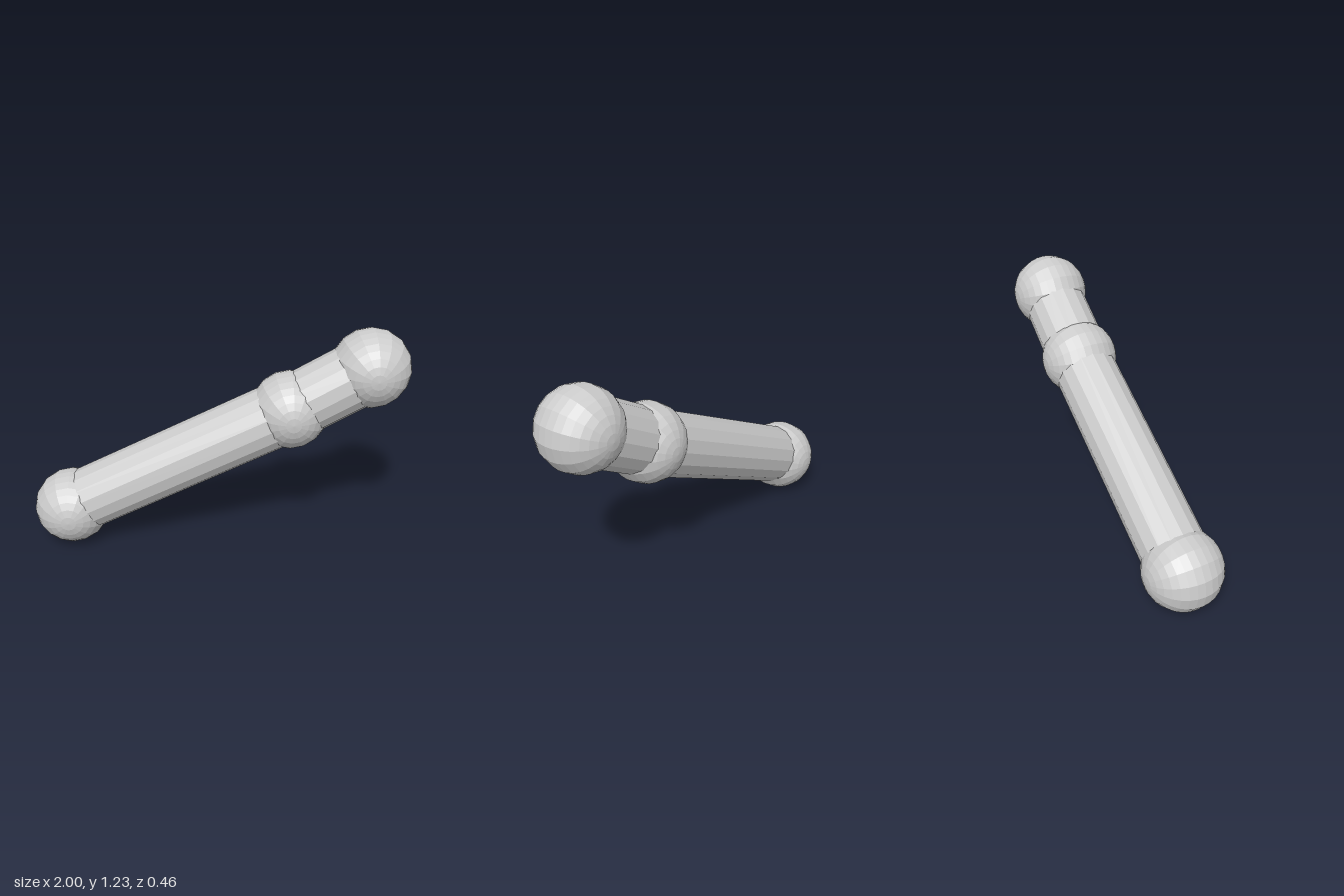
import * as THREE from 'three';

const material = new THREE.MeshStandardMaterial({ color: 0xcccccc, flatShading: true });
const BALL_RADIUS = 0.207;
const ROD_RADIUS = 0.172;
const SIDES = 16;

// Ball joint with its poles along z
function ball(name, position) {
  const geometry = new THREE.SphereGeometry(BALL_RADIUS, SIDES, SIDES).rotateX(Math.PI / 2);
  const mesh = new THREE.Mesh(geometry, material);
  mesh.name = name;
  mesh.position.copy(position);
  return mesh;
}

// Faceted rod between two joint centres
function rod(name, from, to) {
  const axis = to.clone().sub(from);
  const geometry = new THREE.CylinderGeometry(ROD_RADIUS, ROD_RADIUS, axis.length(), SIDES);
  const mesh = new THREE.Mesh(geometry, material);
  mesh.name = name;
  mesh.position.copy(from).add(to).multiplyScalar(0.5);
  mesh.quaternion.setFromUnitVectors(new THREE.Vector3(0, 1, 0), axis.normalize());
  return mesh;
}

export function createModel() {
  const group = new THREE.Group();
  group.name = 'jointedRod';
  const lower = new THREE.Vector3(-0.793, 0.208, -0.022);
  const middle = new THREE.Vector3(0.39, 0.792, 0.008);
  const upper = new THREE.Vector3(0.793, 1.026, 0.021);

  group.add(
    ball('lowerBall', lower),
    ball('middleBall', middle),
    ball('upperBall', upper),
    rod('longRod', lower, middle),
    rod('shortRod', middle, upper),
  );
  return group;
}
